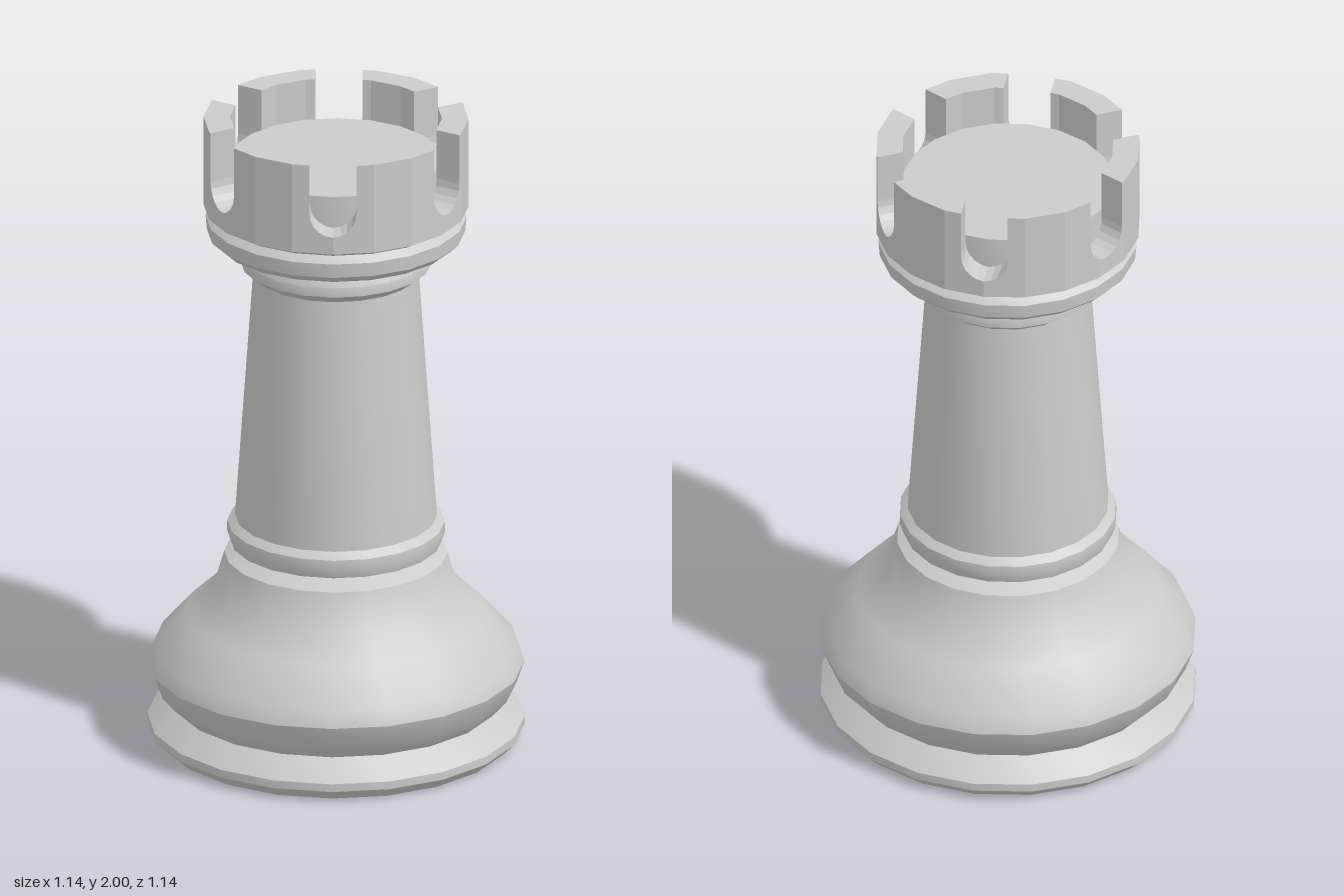
import * as THREE from 'three';
import { toCreasedNormals } from 'three/addons/utils/BufferGeometryUtils.js';

const SIDES = 20;
const STEP = (2 * Math.PI) / SIDES;
const OUTER = 0.4, INNER = 0.32;            // crown wall radii
const WALL_Y = 1.715, TOP_Y = 2, FLOOR_Y = 1.87;
const SLOTS = 6, SLOT_R = 0.0725, SLOT_Y = 1.77 + SLOT_R;

const material = new THREE.MeshStandardMaterial({ color: 0xcccccc });
const flatMaterial = new THREE.MeshStandardMaterial({ color: 0xcccccc, flatShading: true });

// Turned part from [radius, height] pairs, listed upwards
function turned(name, profile) {
  const points = profile.map(([r, y]) => new THREE.Vector2(r, y));
  const geometry = toCreasedNormals(new THREE.LatheGeometry(points, SIDES), 0.6);
  const mesh = new THREE.Mesh(geometry, material);
  mesh.name = name;
  return mesh;
}

// Point on the 20-sided outline of radius r, angle measured from +z
function onPolygon(r, angle, y) {
  const local = angle - Math.floor(angle / STEP) * STEP - STEP / 2;
  const d = (r * Math.cos(STEP / 2)) / Math.cos(local);
  return [d * Math.sin(angle), y, d * Math.cos(angle)];
}

// Columns around the wall: outer angle, inner angle and top height
function wallColumns() {
  const columns = [];
  const pitch = (2 * Math.PI) / SLOTS;
  const halfOut = Math.asin(SLOT_R / OUTER), halfIn = Math.asin(SLOT_R / INNER);
  for (let k = 0; k < SLOTS; k++) {
    const mid = k * pitch;
    // round-bottomed slot with parallel sides
    columns.push([mid - halfOut, mid - halfIn, TOP_Y]);
    for (let i = 0; i <= 10; i++) {
      const t = (i / 10) * Math.PI;
      const x = -SLOT_R * Math.cos(t);
      columns.push([mid + Math.asin(x / OUTER), mid + Math.asin(x / INNER), SLOT_Y - SLOT_R * Math.sin(t)]);
    }
    columns.push([mid + halfOut, mid + halfIn, TOP_Y]);
    // outline corners of the merlon that follows
    for (let c = 0; c <= SIDES; c++) {
      const a = c * STEP;
      if (a > mid + halfOut + 0.01 && a < mid + pitch - halfOut - 0.01) {
        columns.push([a, THREE.MathUtils.clamp(a, mid + halfIn, mid + pitch - halfIn), TOP_Y]);
      }
    }
  }
  return columns;
}

// Notched wall: outer face, inner face and top edge, including slot sides
function battlements() {
  const columns = wallColumns();
  const positions = [];
  const quad = (a, b, c, d) => positions.push(...a, ...b, ...c, ...a, ...c, ...d);
  columns.forEach(([o0, i0, h0], n) => {
    const [o1, i1, h1] = columns[(n + 1) % columns.length];
    const outTop0 = onPolygon(OUTER, o0, h0), outTop1 = onPolygon(OUTER, o1, h1);
    const inTop0 = onPolygon(INNER, i0, h0), inTop1 = onPolygon(INNER, i1, h1);
    quad(onPolygon(OUTER, o0, WALL_Y), onPolygon(OUTER, o1, WALL_Y), outTop1, outTop0);
    quad(outTop0, outTop1, inTop1, inTop0);
    quad(onPolygon(INNER, i1, Math.min(h1, FLOOR_Y)), onPolygon(INNER, i0, Math.min(h0, FLOOR_Y)), inTop0, inTop1);
  });
  const geometry = new THREE.BufferGeometry();
  geometry.setAttribute('position', new THREE.Float32BufferAttribute(positions, 3));
  geometry.computeVertexNormals();
  const mesh = new THREE.Mesh(geometry, flatMaterial);
  mesh.name = 'battlements';
  return mesh;
}

export function createModel() {
  const group = new THREE.Group();
  group.name = 'rook';
  group.add(
    turned('foot', [[0, 0], [0.535, 0], [0.57, 0.035], [0.57, 0.06], [0.5, 0.12]]),
    turned('bulge', [[0.5, 0.12], [0.545, 0.17], [0.57, 0.24], [0.552, 0.29], [0.455, 0.4], [0.37, 0.48], [0.337, 0.59]]),
    turned('bulgeTop', [[0.337, 0.59], [0.275, 0.62]]),
    turned('lowerRing', [[0.275, 0.625], [0.32, 0.63], [0.33, 0.66], [0.328, 0.69], [0.305, 0.71]]),
    turned('shaft', [[0.305, 0.71], [0.25, 1.5]]),
    turned('collar', [[0.25, 1.5], [0.288, 1.53], [0.288, 1.56], [0.26, 1.605]]),
    turned('upperRing', [[0.26, 1.605], [0.365, 1.612], [0.39, 1.635], [0.394, 1.68], [0.372, 1.7]]),
    turned('crownUnderside', [[0.372, 1.7], [OUTER, WALL_Y]]),
    turned('crownFloor', [[INNER, 1.77], [INNER, FLOOR_Y], [0, FLOOR_Y]]),
    battlements()
  );
  return group;
}
